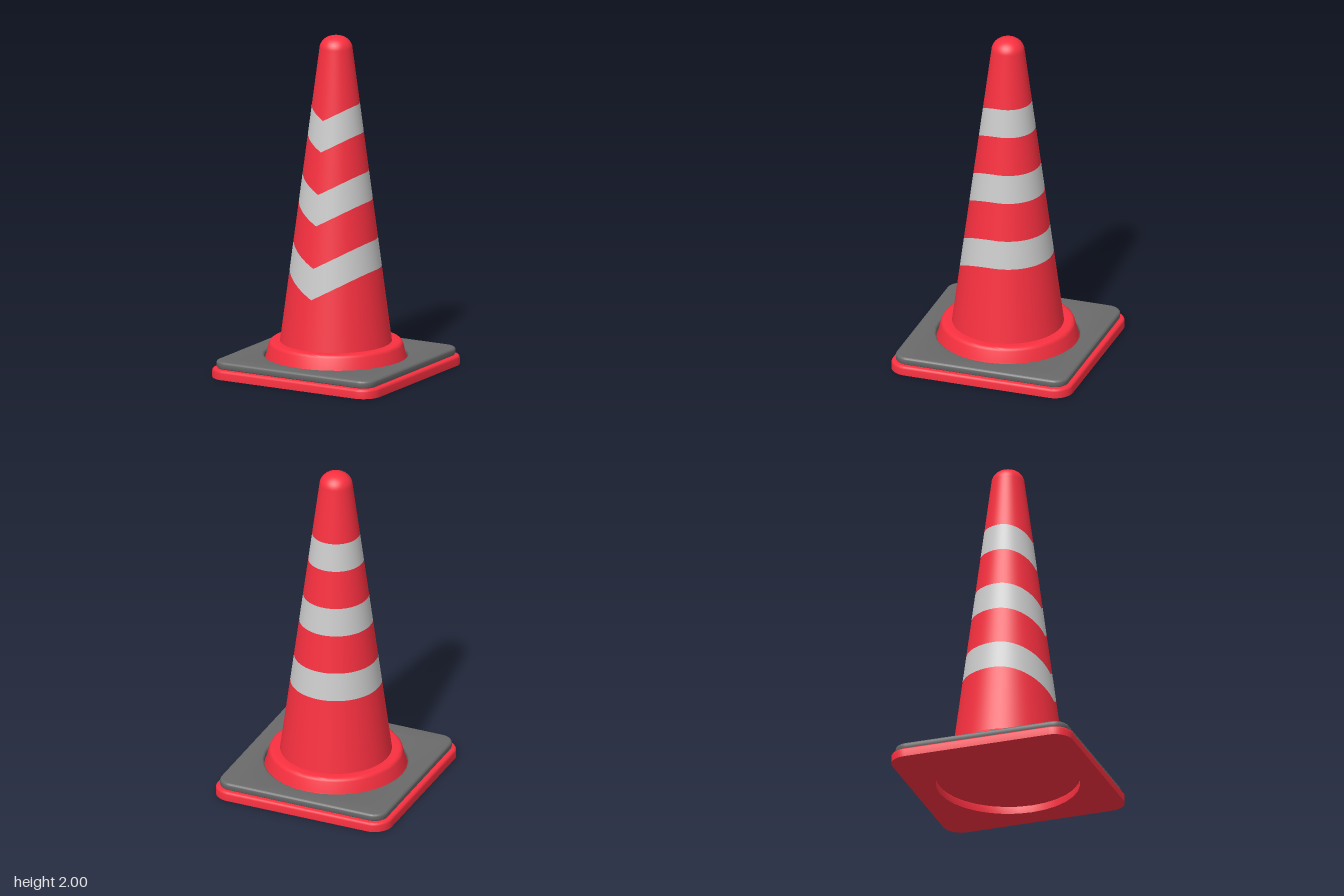
import * as THREE from 'three';
import { toCreasedNormals } from 'three/addons/utils/BufferGeometryUtils.js';

const SIDES = 64;
const red = new THREE.MeshStandardMaterial({ color: 0xf93040 });
const darkGrey = new THREE.MeshStandardMaterial({ color: 0x6a6a6a });
const stripeGrey = new THREE.MeshStandardMaterial({ color: 0xcccccc });

// Cone wall: radius at a given height
const SLOPE = 0.131;
const radiusAt = (y) => 0.325 - SLOPE * (y - 0.18);

function part(name, geometry, material) {
  const mesh = new THREE.Mesh(geometry, material);
  mesh.name = name;
  return mesh;
}

// Rounded square plate with a round hole and softened edges
function plate(half, corner, hole, y0, y1, bevel, flatBottom) {
  const h = half - bevel, c = corner - bevel, k = h - c;
  const shape = new THREE.Shape();
  shape.absarc(k, k, c, 0, Math.PI / 2);
  shape.absarc(-k, k, c, Math.PI / 2, Math.PI);
  shape.absarc(-k, -k, c, Math.PI, Math.PI * 1.5);
  shape.absarc(k, -k, c, Math.PI * 1.5, Math.PI * 2);
  shape.closePath();
  const opening = new THREE.Path();
  opening.absarc(0, 0, hole + bevel, 0, Math.PI * 2, true);
  shape.holes.push(opening);

  const start = flatBottom ? y0 : y0 + bevel;
  const geo = new THREE.ExtrudeGeometry(shape, {
    depth: y1 - bevel - start, bevelThickness: bevel, bevelSize: bevel,
    bevelSegments: 4, curveSegments: 16,
  });
  geo.rotateX(-Math.PI / 2).translate(0, start, 0);
  // Press the lower bevel flat where the plate meets the ground
  const p = geo.attributes.position;
  for (let i = 0; i < p.count; i++) p.setY(i, Math.max(y0, p.getY(i)));
  return toCreasedNormals(geo, 0.6);
}

// Height of a band edge at angle a: level at the back, a V at the front
function edgeHeight(edge, a) {
  if (!edge.chevron || Math.cos(a) <= 0) return edge.y;
  return edge.y - 0.577 * radiusAt(edge.y) * (1 - Math.abs(Math.sin(a)));
}

// Strip of cone wall between two edges
function band(low, high) {
  const geo = new THREE.CylinderGeometry(1, 1, 1, SIDES, 4, true);
  const p = geo.attributes.position, n = geo.attributes.normal;
  const normal = new THREE.Vector3();
  for (let i = 0; i < p.count; i++) {
    const a = Math.atan2(p.getX(i), p.getZ(i));
    const y = THREE.MathUtils.lerp(edgeHeight(low, a), edgeHeight(high, a), p.getY(i) + 0.5);
    const r = radiusAt(y);
    p.setXYZ(i, Math.sin(a) * r, y, Math.cos(a) * r);
    normal.set(Math.sin(a), SLOPE, Math.cos(a)).normalize();
    n.setXYZ(i, normal.x, normal.y, normal.z);
  }
  return geo;
}

function lathe(points) {
  return new THREE.LatheGeometry(points.map(([r, y]) => new THREE.Vector2(r, y)), SIDES);
}

export function createModel() {
  const model = new THREE.Group();
  model.name = 'trafficCone';

  // Square foot
  model.add(part('basePlate', plate(0.555, 0.11, 0.42, 0, 0.056, 0.016, true), red));
  model.add(part('rubberPlate', plate(0.53, 0.085, 0.418, 0.054, 0.1, 0.014, false), darkGrey));

  // Round collar, with the floor that closes the recess underneath
  model.add(part('collar', toCreasedNormals(lathe([
    [0, 0.045], [0.425, 0.045], [0.415, 0.07], [0.405, 0.1], [0.391, 0.16],
    [0.386, 0.171], [0.378, 0.178], [0.367, 0.18], [0.32, 0.18],
  ]), 0.6), red));

  // Cone wall: red and reflective bands in turn
  const edges = [
    { y: 0.18 },
    ...[0.63, 0.8, 1.03, 1.2, 1.43, 1.6].map((y) => ({ y, chevron: true })),
    { y: 1.92 },
  ];
  for (let i = 0; i < edges.length - 1; i++) {
    const stripe = i % 2 === 1;
    model.add(part(
      stripe ? 'reflectiveStripe' : 'coneWall',
      band(edges[i], edges[i + 1]),
      stripe ? stripeGrey : red,
    ));
  }

  // Rounded tip
  const r = radiusAt(1.92), tip = [];
  for (let i = 0; i <= 10; i++) {
    const t = (i / 10) * (Math.PI / 2);
    tip.push([i === 10 ? 0 : r * Math.cos(t) ** 0.9, 1.92 + 0.08 * Math.sin(t)]);
  }
  model.add(part('tip', lathe(tip), red));

  return model;
}
